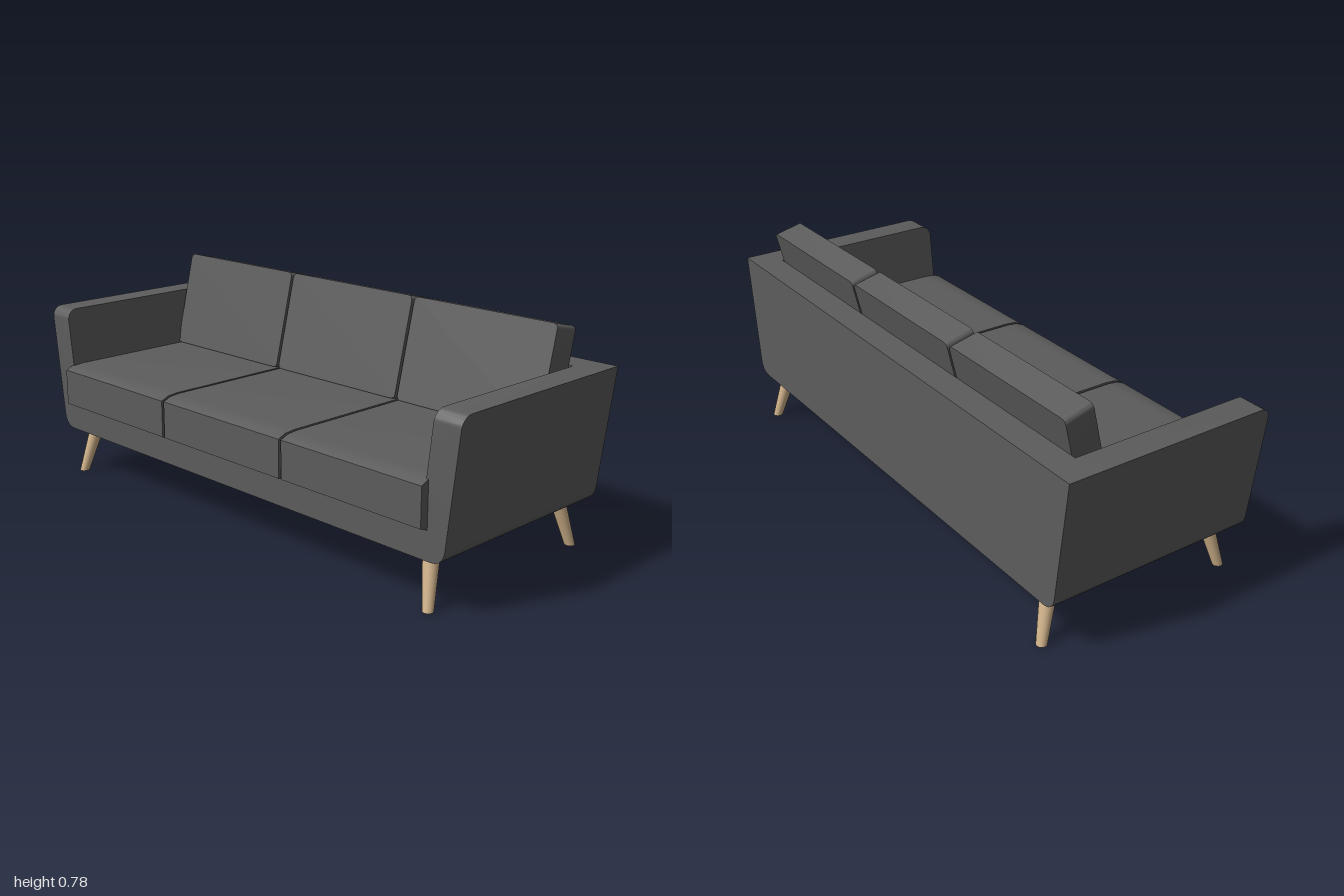
import * as THREE from 'three';
import { toCreasedNormals } from 'three/addons/utils/BufferGeometryUtils.js';

export function createModel() {
  const sofa = new THREE.Group();
  sofa.name = 'sofa';
  const fabric = new THREE.MeshStandardMaterial({ color: 0x5c5c5d });
  fabric.name = 'charcoalFabric';
  const wood = new THREE.MeshStandardMaterial({ color: 0xd2b48c });
  wood.name = 'paleWood';

  const add = (name, geometry, material) => {
    const mesh = new THREE.Mesh(geometry, material);
    mesh.name = name;
    sofa.add(mesh);
    return mesh;
  };
  const extrude = (shape, depth, steps = 1) =>
    new THREE.ExtrudeGeometry(shape, { depth, steps, bevelEnabled: false, curveSegments: 8 });

  // Arms and base: one U-shaped section with flared sides, run front to back
  const top = 0.635, bottom = 0.17, seatY = 0.265, flare = 0.117;
  const outer = (y) => 1 - (top - y) * flare;
  const inner = (y) => outer(y) - 0.1;
  const u = new THREE.Shape();
  u.moveTo(-0.895, bottom);
  u.lineTo(0.895, bottom);
  u.quadraticCurveTo(outer(bottom), bottom, outer(0.22), 0.22);
  u.lineTo(1, top);
  u.lineTo(inner(top), top);
  u.lineTo(inner(seatY), seatY);
  u.lineTo(-inner(seatY), seatY);
  u.lineTo(-inner(top), top);
  u.lineTo(-1, top);
  u.lineTo(-outer(0.22), 0.22);
  u.quadraticCurveTo(-outer(bottom), bottom, -0.895, bottom);

  // Round the upper front corner of the arms over the last slices
  const slices = 9, r = 0.04;
  const body = extrude(u, slices, slices);
  const p = body.attributes.position;
  for (let i = 0; i < p.count; i++) {
    const k = Math.round(p.getZ(i));
    if (k === 0) {
      p.setZ(i, -0.4);
      continue;
    }
    const a = ((k - 1) / (slices - 1)) * Math.PI / 2;
    p.setZ(i, 0.33 + r * Math.sin(a));
    if (p.getY(i) > 0.6) {
      const drop = r * (1 - Math.cos(a));
      p.setY(i, p.getY(i) - drop);
      p.setX(i, p.getX(i) - Math.sign(p.getX(i)) * drop * flare);
    }
  }
  add('armsAndBase', toCreasedNormals(body, 0.5), fabric);

  // Backrest fills the U at the rear
  const back = new THREE.Shape([
    new THREE.Vector2(-inner(seatY), seatY), new THREE.Vector2(inner(seatY), seatY),
    new THREE.Vector2(inner(top), top), new THREE.Vector2(-inner(top), top),
  ]);
  add('backrest', extrude(back, 0.1).translate(0, 0, -0.4), fabric);

  // Seat cushion side profile (z, y) with softened front edges
  const seat = new THREE.Shape([
    [-0.3, 0.262], [0.33, 0.262], [0.37, 0.267], [0.4, 0.278],
    [0.4, 0.41], [0.37, 0.423], [0.33, 0.427], [-0.3, 0.427],
  ].map(([z, y]) => new THREE.Vector2(z, y)));
  const w = 0.582;
  const seatGeo = toCreasedNormals(
    extrude(seat, w).rotateY(-Math.PI / 2).translate(w / 2, 0, 0), 0.5);

  // Back cushion: rounded rectangle leaning backwards
  const h = 0.36, c = 0.02, hw = w / 2;
  const pad = new THREE.Shape();
  pad.moveTo(-hw + c, 0);
  pad.lineTo(hw - c, 0);
  pad.quadraticCurveTo(hw, 0, hw, c);
  pad.lineTo(hw, h - c);
  pad.quadraticCurveTo(hw, h, hw - c, h);
  pad.lineTo(-hw + c, h);
  pad.quadraticCurveTo(-hw, h, -hw, h - c);
  pad.lineTo(-hw, c);
  pad.quadraticCurveTo(-hw, 0, -hw + c, 0);
  const padGeo = toCreasedNormals(
    extrude(pad, 0.103).translate(0, 0, -0.103).rotateX(-0.236), 0.5);

  for (const [side, x] of [['right', -0.593], ['middle', 0], ['left', 0.593]]) {
    add(side + 'SeatCushion', seatGeo, fabric).position.x = x;
    add(side + 'BackCushion', padGeo, fabric).position.set(x, 0.43, -0.145);
  }

  // Tapered legs, sheared outwards so the feet stay flat on the floor
  const legH = 0.18;
  for (const sx of [-1, 1]) {
    for (const sz of [-1, 1]) {
      const leg = new THREE.CylinderGeometry(0.028, 0.018, legH, 24).translate(0, legH / 2, 0);
      const shear = new THREE.Matrix4().set(
        1, -sx * 0.18, 0, sx * 0.875,
        0, 1, 0, 0,
        0, -sz * 0.27, 1, sz > 0 ? 0.345 : -0.382,
        0, 0, 0, 1);
      add((sz > 0 ? 'front' : 'back') + (sx > 0 ? 'Left' : 'Right') + 'Leg',
        leg.applyMatrix4(shear), wood);
    }
  }
  return sofa;
}
